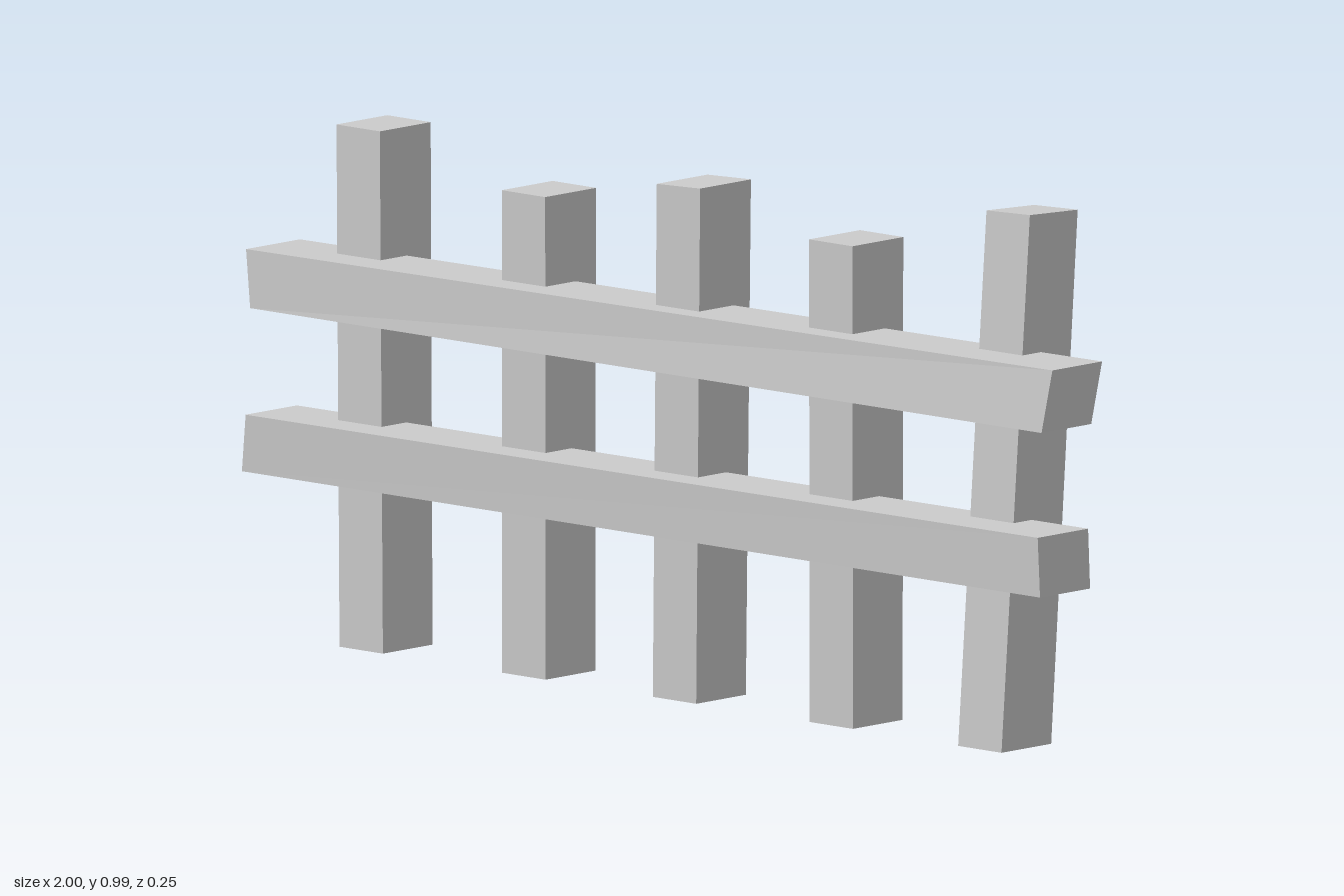
import * as THREE from 'three';

const material = new THREE.MeshStandardMaterial({ color: 0xcccccc, flatShading: true });

// A box whose corners are placed by a rule: place(sx, sy, sz) with each 0 or 1
function hewnBeam(name, place) {
  const geometry = new THREE.BoxGeometry(1, 1, 1);
  const p = geometry.attributes.position;
  for (let i = 0; i < p.count; i++) {
    p.setXYZ(i, ...place(p.getX(i) + 0.5, p.getY(i) + 0.5, p.getZ(i) + 0.5));
  }
  geometry.computeVertexNormals();
  const mesh = new THREE.Mesh(geometry, material);
  mesh.name = name;
  return mesh;
}

const mix = THREE.MathUtils.lerp;

// Upright post: left edge and back edge at the foot and top, slight slope on the top cut
function post({ x, z, height, slopeX = 0, slopeZ = 0, topDepth = 0.135 }) {
  return hewnBeam('post', (sx, sy, sz) => [
    mix(x[0], x[1], sy) + sx * 0.108,
    sy * (height + sx * slopeX + sz * slopeZ),
    mix(z[0], z[1], sy) + sz * mix(0.132, topDepth, sy),
  ]);
}

// Cross rail: each end gives [bottom, top] for x, y, back z and front z
function rail(name, left, right) {
  return hewnBeam(name, (sx, sy, sz) => {
    const end = sx ? right : left;
    return [end.x[sy], end.y[sy], sz ? end.front[sy] : end.back[sy]];
  });
}

export function createModel() {
  const fence = new THREE.Group();
  fence.name = 'fence';

  // Five posts, some leaning
  const posts = [
    { x: [-0.817, -0.833], z: [-0.078, -0.09], height: 0.96 },
    { x: [-0.412, -0.412], z: [-0.078, -0.08], height: 0.89 },
    { x: [-0.037, -0.016], z: [-0.078, -0.069], height: 0.95, slopeX: 0.004 },
    { x: [0.353, 0.353], z: [-0.078, -0.08], height: 0.89 },
    { x: [0.724, 0.744], z: [-0.077, -0.126], height: 0.977, slopeX: 0.004, slopeZ: 0.006, topDepth: 0.127 },
  ];
  posts.forEach((spec) => fence.add(post(spec)));

  // Two rails across the front
  fence.add(rail('upperRail',
    { x: [-0.972, -0.985], y: [0.615, 0.722], back: [-0.015, -0.02], front: [0.126, 0.123] },
    { x: [0.985, 0.998], y: [0.615, 0.73], back: [-0.02, -0.035], front: [0.112, 0.097] }));
  fence.add(rail('lowerRail',
    { x: [-1, -0.988], y: [0.31, 0.416], back: [-0.015, -0.015], front: [0.118, 0.121] },
    { x: [0.985, 0.981], y: [0.312, 0.422], back: [-0.017, -0.016], front: [0.116, 0.118] }));

  return fence;
}
